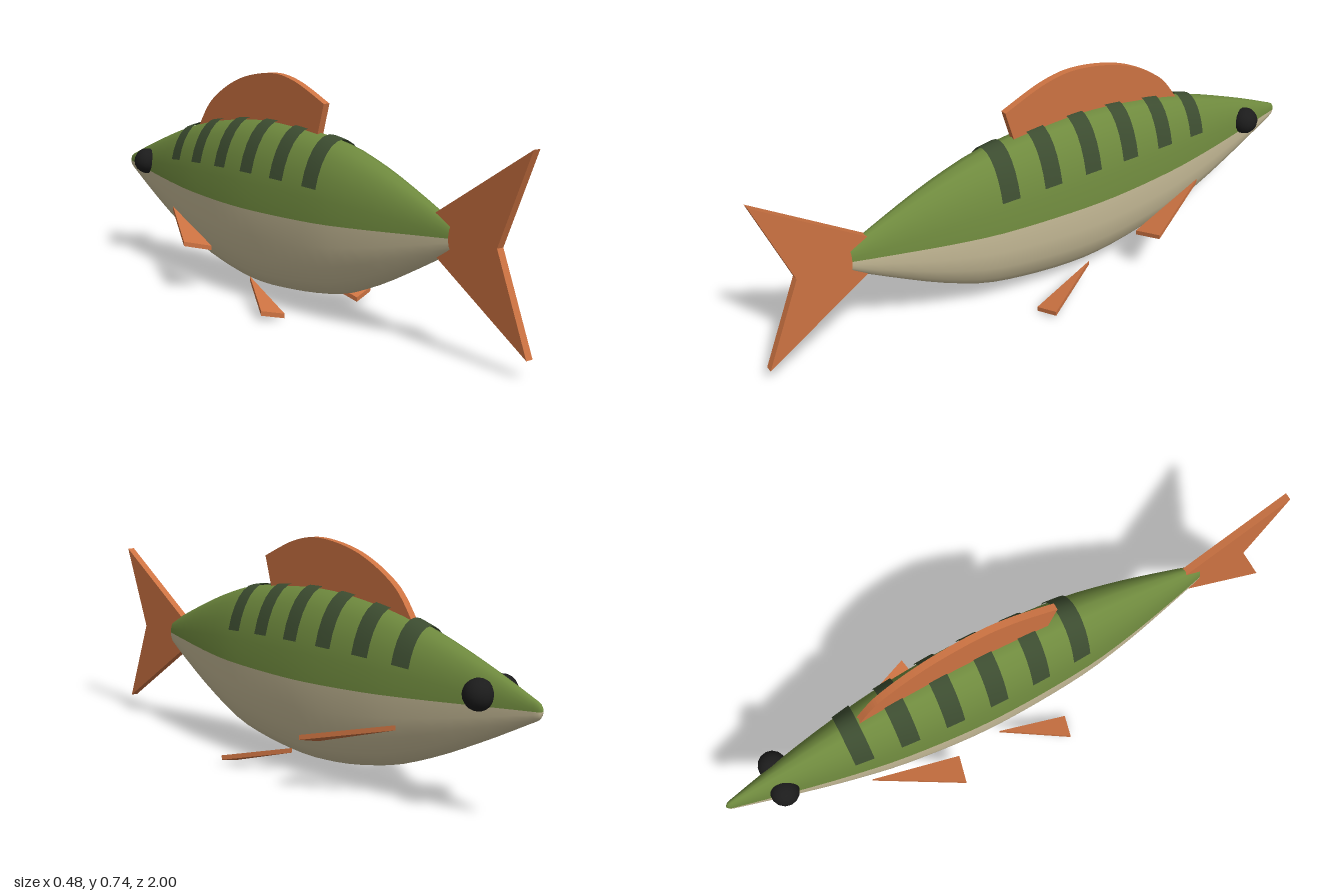
import * as THREE from 'three';
import { ConvexGeometry } from 'three/addons/geometries/ConvexGeometry.js';

const mat = (name, color, side = THREE.FrontSide) => {
  const m = new THREE.MeshStandardMaterial({ color, side });
  m.name = name;
  return m;
};

// Body half-height along z (head at -z, tail at +z)
const profile = new THREE.SplineCurve([
  [-1, 0], [-0.988, 0.022], [-0.96, 0.036], [-0.8, 0.108], [-0.6, 0.187], [-0.4, 0.244],
  [-0.12, 0.277], [0.2, 0.248], [0.4, 0.188], [0.6, 0.098], [0.71, 0.042],
].map(([z, h]) => new THREE.Vector2(z, h))).getPoints(240);

function halfHeight(z) {
  const i = Math.max(1, profile.findIndex((p) => p.x >= z));
  const a = profile[i - 1], b = profile[i];
  return THREE.MathUtils.lerp(a.y, b.y, THREE.MathUtils.clamp((z - a.x) / (b.x - a.x), 0, 1));
}

// Skin patch over the body: rings at zs, angle measured from the top of the back
function skin(zs, from, to, sides, lift = 0) {
  const pos = [], index = [];
  zs.forEach((z, i) => {
    const h = halfHeight(z);
    const centre = 0.345 - 0.033 * (h / 0.277) ** 1.3;
    for (let j = 0; j <= sides; j++) {
      const t = from + ((to - from) * j) / sides;
      pos.push(Math.sin(t) * (h * 0.47 + lift), centre + Math.cos(t) * (h + lift), z);
      if (i < zs.length - 1 && j < sides) {
        const a = i * (sides + 1) + j, b = a + sides + 1;
        index.push(a, b, a + 1, b, b + 1, a + 1);
      }
    }
  });
  const g = new THREE.BufferGeometry();
  g.setAttribute('position', new THREE.Float32BufferAttribute(pos, 3));
  g.setIndex(index);
  g.computeVertexNormals();
  return g;
}

// Upright fin plate from a (z, y) outline, centred on x = 0
function uprightFin(shape, thickness) {
  const g = new THREE.ExtrudeGeometry(shape, { depth: thickness, bevelEnabled: false, curveSegments: 10 });
  g.translate(0, 0, -thickness / 2);
  g.rotateY(-Math.PI / 2);
  return g;
}

export function createModel() {
  const fish = new THREE.Group();
  fish.name = 'fish';
  const green = mat('back green', 0x6f8a3e, THREE.DoubleSide);
  const cream = mat('belly cream', 0xcdc19c, THREE.DoubleSide);
  const dark = mat('stripe dark green', 0x3c4c30, THREE.DoubleSide);
  const orange = mat('fin orange', 0xcd7342);
  const black = mat('eye black', 0x1c1c1c);
  const add = (name, geometry, material) => {
    const m = new THREE.Mesh(geometry, material);
    m.name = name;
    fish.add(m);
    return m;
  };

  // Body, green above and cream below, with rings closer together at the nose
  const rings = [-1, -0.994, -0.988, -0.975];
  for (let i = 0; i <= 28; i++) rings.push(-0.96 + (1.67 * i) / 28);
  add('back', skin(rings, -Math.PI / 2, Math.PI / 2, 10), green);
  add('belly', skin(rings, Math.PI / 2, Math.PI * 1.5, 10), cream);

  // Stripes over the back
  for (let i = 0; i < 6; i++) {
    const z = 0.206 - i * 0.152;
    add('stripe', skin([z - 0.031, z, z + 0.031], -1.14, 1.14, 12, 0.006), dark);
  }

  // Tail fin
  const tail = new THREE.Shape([
    [0.65, 0.283], [1, 0.06], [0.885, 0.345], [1, 0.627], [0.65, 0.405],
  ].map(([z, y]) => new THREE.Vector2(z, y)));
  add('tailFin', uprightFin(tail, 0.025), orange);

  // Dorsal fin
  const dorsal = new THREE.Shape();
  dorsal.moveTo(-0.52, 0.53);
  dorsal.splineThru([
    [-0.44, 0.627], [-0.29, 0.708], [-0.12, 0.742], [0.01, 0.727], [0.16, 0.667],
  ].map(([z, y]) => new THREE.Vector2(z, y)));
  dorsal.lineTo(0.125, 0.55);
  dorsal.lineTo(-0.1, 0.56);
  add('dorsalFin', uprightFin(dorsal, 0.023), orange);

  // Paired fins (front corner, outer corner, inner rear corner) and eyes
  const fins = {
    pectoralFin: [[0.105, 0.243, -0.555], [0.24, 0.184, -0.285], [0.144, 0.16, -0.263]],
    pelvicFin: [[0.11, 0.084, -0.095], [0.227, 0.036, 0.12], [0.15, 0.018, 0.14]],
  };
  for (const side of [1, -1]) {
    const label = side > 0 ? 'left' : 'right';
    for (const [name, corners] of Object.entries(fins)) {
      const pts = corners.flatMap(([x, y, z]) => [
        new THREE.Vector3(side * x, y, z), new THREE.Vector3(side * x, y - 0.015, z),
      ]);
      add(`${label} ${name}`, new ConvexGeometry(pts), orange);
    }
    add(`${label} eye`, new THREE.SphereGeometry(0.046, 14, 10), black).position.set(side * 0.048, 0.368, -0.815);
  }
  return fish;
}
